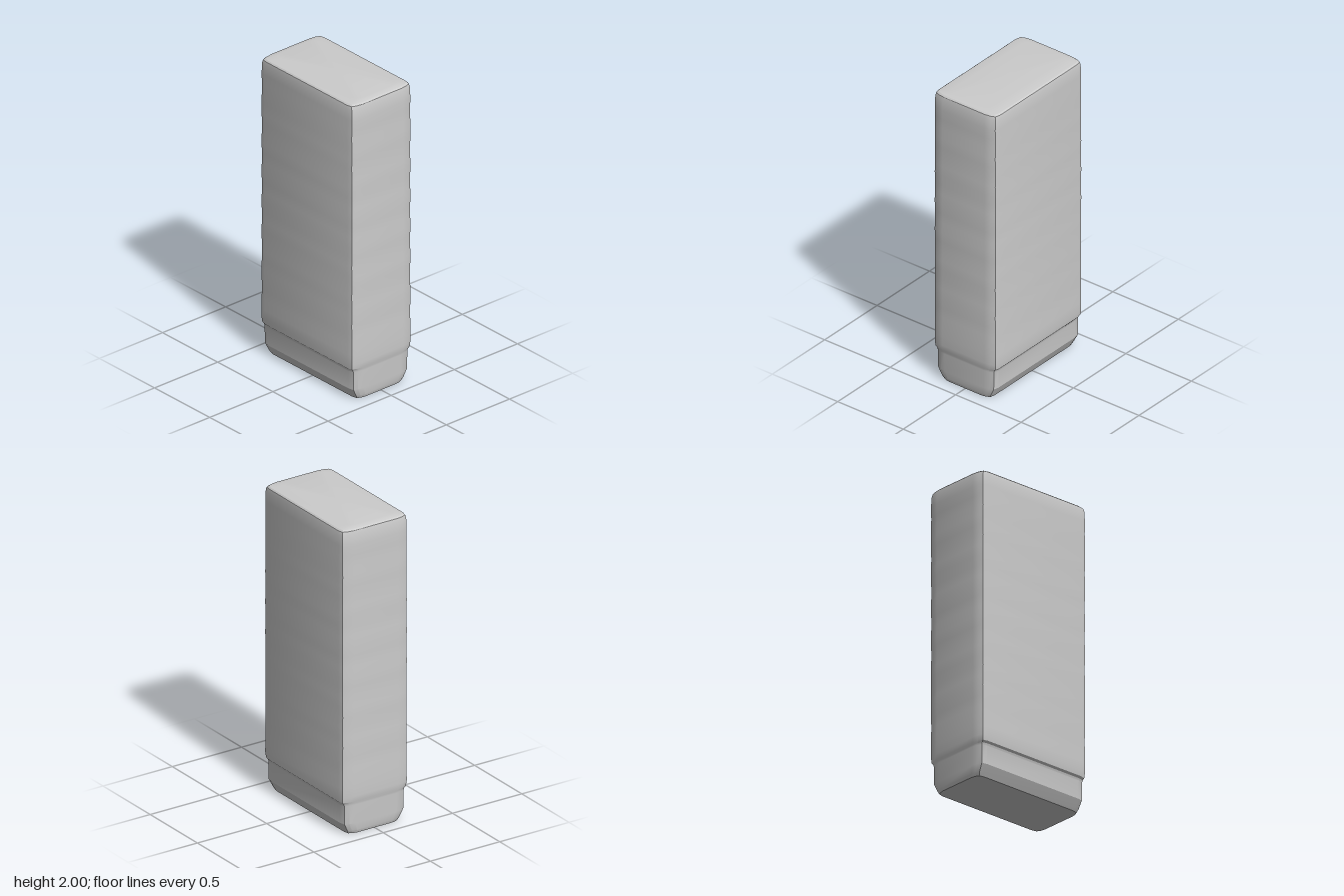
import * as THREE from 'three';
import { toCreasedNormals } from 'three/addons/utils/BufferGeometryUtils.js';

// Rounded-rectangle outline running from +x towards +z; hx, hz are half sizes
function outline(hx, hz) {
  const quarter = [[hx, hz * 0.67], [hx - 0.006, hz * 0.84], [hx - 0.018, hz - 0.008], [hx - 0.052, hz]];
  const mirrored = quarter.map(([x, z]) => [-x, z]).reverse();
  const half = [...quarter, ...mirrored];
  return [...half, ...half.map(([x, z]) => [-x, -z])];
}

// Skin a stack of [y, hx, hz] sections, closed at both ends
function loft(sections) {
  const pos = [];
  const rings = sections.map(([y, hx, hz]) => outline(hx, hz).map(([x, z]) => [x, y, z]));
  const n = rings[0].length;
  for (let i = 0; i < rings.length - 1; i++) {
    for (let j = 0; j < n; j++) {
      const k = (j + 1) % n;
      const a = rings[i][j], b = rings[i][k], c = rings[i + 1][j], d = rings[i + 1][k];
      pos.push(...a, ...c, ...b, ...b, ...c, ...d);
    }
  }
  const low = rings[0], high = rings[rings.length - 1];
  for (let j = 0; j < n; j++) {
    const k = (j + 1) % n;
    pos.push(0, low[0][1], 0, ...low[j], ...low[k]);
    pos.push(0, high[0][1], 0, ...high[k], ...high[j]);
  }
  const geometry = new THREE.BufferGeometry();
  geometry.setAttribute('position', new THREE.Float32BufferAttribute(pos, 3));
  return toCreasedNormals(geometry, 0.35);
}

export function createModel() {
  const group = new THREE.Group();
  group.name = 'block';
  const material = new THREE.MeshStandardMaterial({ color: 0xcccccc });

  // Narrower foot with a chamfered lower edge
  const sections = [
    [0, 0.408, 0.185], [0.02, 0.415, 0.195], [0.07, 0.419, 0.22], [0.19, 0.42, 0.222],
    // Step out to the body
    [0.203, 0.421, 0.226], [0.215, 0.424, 0.236], [0.25, 0.427, 0.24],
  ];
  // Tall body with a faint hand-made ripple
  for (let i = 0; i <= 24; i++) {
    const y = 0.31 + i * 0.066;
    sections.push([y, 0.4265 + 0.0015 * Math.sin(i * 1.9), 0.239 + 0.001 * Math.sin(i * 2.3 + 1)]);
  }
  // Softened top edge
  sections.push([1.965, 0.424, 0.238], [1.985, 0.419, 0.234], [1.993, 0.41, 0.225],
    [1.997, 0.395, 0.2], [2, 0.375, 0.16]);

  const body = new THREE.Mesh(loft(sections), material);
  body.name = 'steppedBody';
  group.add(body);
  return group;
}
